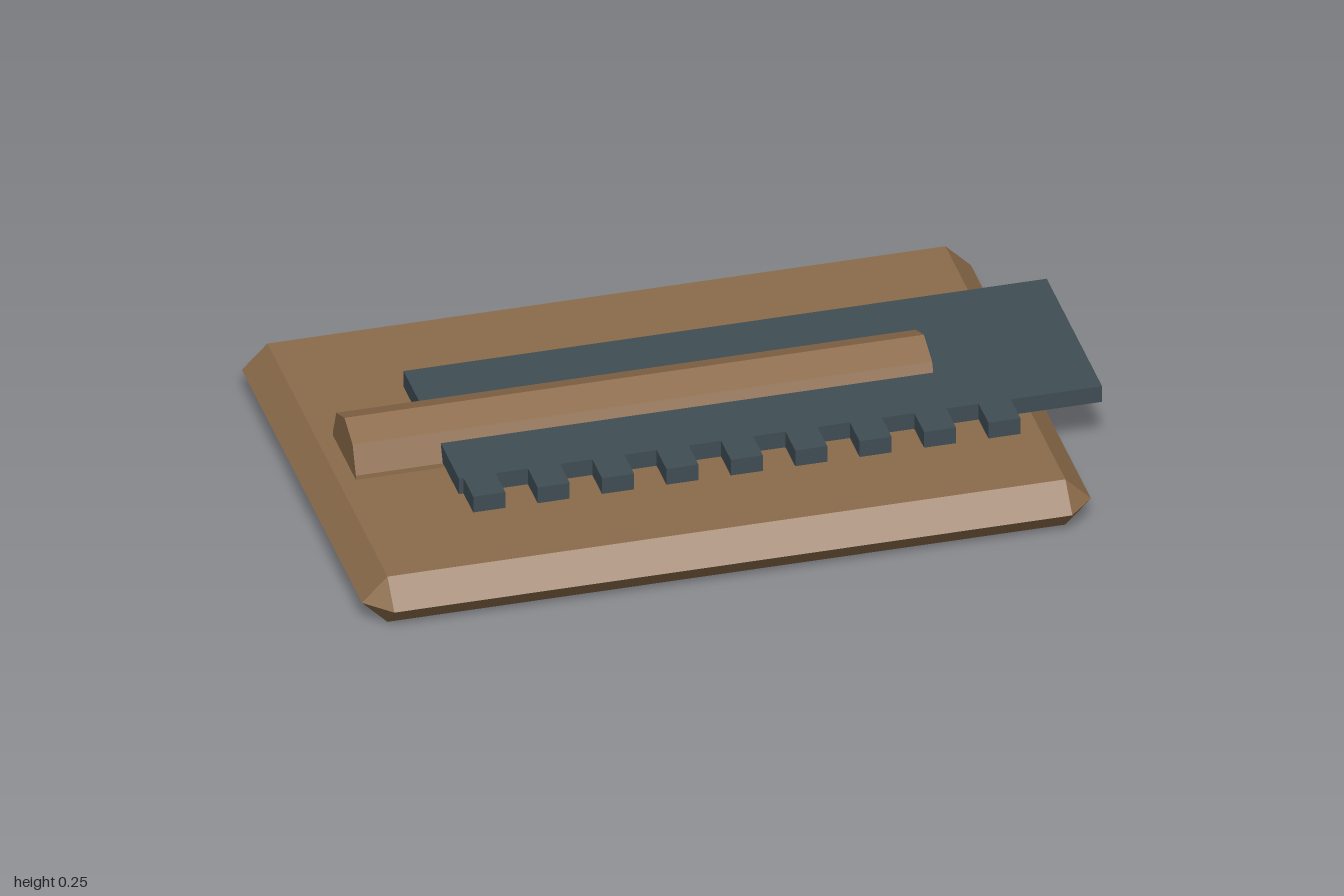
import * as THREE from 'three';
import { ConvexGeometry } from 'three/addons/geometries/ConvexGeometry.js';

const material = (color) => new THREE.MeshStandardMaterial({ color, flatShading: true });

function addMesh(group, name, geometry, mat) {
  const mesh = new THREE.Mesh(geometry, mat);
  mesh.name = name;
  group.add(mesh);
  return mesh;
}

// Slab with chamfered edges and corners
function chamferedSlab(width, height, depth, chamfer) {
  const points = [];
  for (const sx of [-1, 1]) {
    for (const sz of [-1, 1]) {
      const x = sx * (width / 2 - chamfer);
      const z = sz * (depth / 2 - chamfer);
      points.push(
        new THREE.Vector3(x, 0, z),
        new THREE.Vector3(x, height, z),
        new THREE.Vector3(x + sx * chamfer, height / 2, z),
        new THREE.Vector3(x, height / 2, z + sz * chamfer),
      );
    }
  }
  return new ConvexGeometry(points);
}

export function createModel() {
  const model = new THREE.Group();
  model.name = 'slidingRack';
  const wood = material(0x8b6b4a);
  const steel = material(0x3f4d54);

  // Base board, reaching from x = -1 to 0.887
  const board = addMesh(model, 'baseBoard', chamferedSlab(1.887, 0.133, 1.275, 0.066), wood);
  board.position.x = -0.0565;

  // Guide rail with sloping sides and a ridged top
  const profile = new THREE.Shape([
    [-0.11, 0.133], [0.11, 0.133], [0.109, 0.145], [0.078, 0.218],
    [0, 0.25], [-0.078, 0.218], [-0.109, 0.145],
  ].map(([z, y]) => new THREE.Vector2(z, y)));
  const railGeometry = new THREE.ExtrudeGeometry(profile, { depth: 1.5, bevelEnabled: false });
  railGeometry.rotateY(Math.PI / 2);
  addMesh(model, 'guideRail', railGeometry, wood).position.x = -0.89;

  // Fork-shaped slider with a row of teeth along the front edge
  const left = -0.665, right = 1, back = -0.265, front = 0.262, slot = 0.088, slotEnd = 0.61;
  const toothCount = 9, pitch = 0.1667, toothWidth = 0.083, toothTip = 0.355;
  const outline = [[left, front]];
  for (let i = 0; i < toothCount; i++) {
    const x = -0.653 + i * pitch;
    outline.push([x, front], [x, toothTip], [x + toothWidth, toothTip], [x + toothWidth, front]);
  }
  outline.push([right, front], [right, back], [left, back],
    [left, -slot], [slotEnd, -slot], [slotEnd, slot], [left, slot]);
  const sliderShape = new THREE.Shape(outline.map(([x, z]) => new THREE.Vector2(x, -z)));
  const sliderGeometry = new THREE.ExtrudeGeometry(sliderShape, { depth: 0.046, bevelEnabled: false });
  sliderGeometry.rotateX(-Math.PI / 2);
  addMesh(model, 'toothedSlider', sliderGeometry, steel).position.y = 0.146;

  return model;
}
